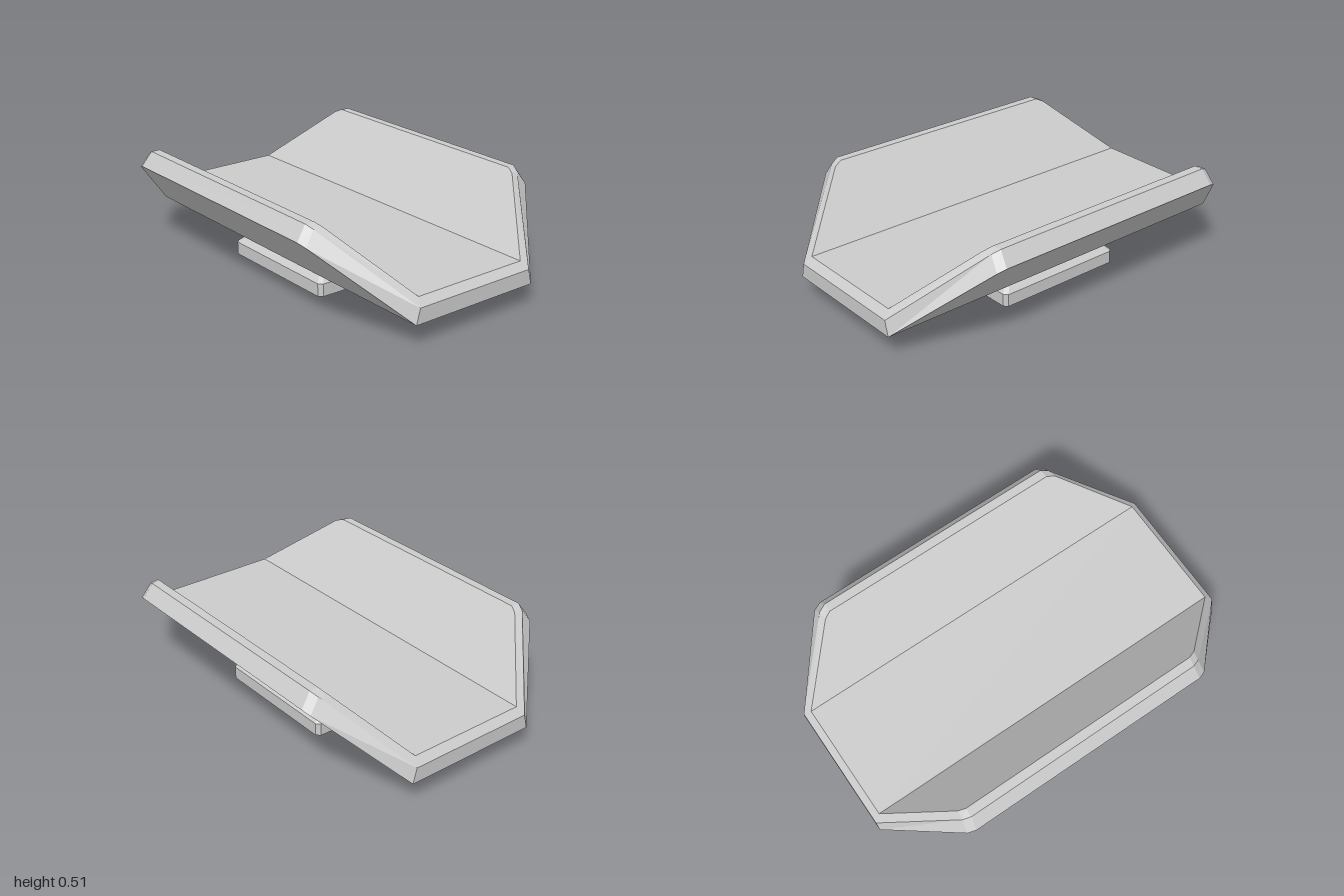
import * as THREE from 'three';

// Skin a stack of counter-clockwise rings (lowest first) and close both ends with flat fans.
function loft(name, rings, caps) {
  const pos = [];
  const tri = (...pts) => pts.forEach((p) => pos.push(...p));
  for (let k = 0; k < rings.length - 1; k++) {
    const lo = rings[k], up = rings[k + 1];
    lo.forEach((p, i) => {
      const j = (i + 1) % lo.length;
      tri(p, lo[j], up[j]);
      tri(p, up[j], up[i]);
    });
  }
  const bottom = rings[0], top = rings[rings.length - 1];
  for (const cap of caps) {
    for (let i = 1; i < cap.length - 1; i++) {
      const [a, b, c] = [cap[0], cap[i], cap[i + 1]];
      tri(top[a], top[b], top[c]);
      tri(bottom[a], bottom[c], bottom[b]);
    }
  }
  const geometry = new THREE.BufferGeometry();
  geometry.setAttribute('position', new THREE.Float32BufferAttribute(pos, 3));
  geometry.computeVertexNormals();
  const mesh = new THREE.Mesh(geometry, new THREE.MeshStandardMaterial({ color: 0xcccccc, flatShading: true }));
  mesh.name = name;
  return mesh;
}

// Tray outline: [x, z] points of the left wing from front fold to back fold, mirrored;
// beyond the fold the surface climbs with the given slope.
function trayRing(y, slope, half) {
  const fold = half[0][0];
  const left = half.map(([x, z]) => [x, y + (x - fold) * slope, z]);
  const right = left.map(([x, h, z]) => [-x, h, z]).reverse();
  return [...left, ...right];
}

// Square with small cut corners.
function baseRing(y, s, c) {
  const t = s - c;
  return [[t, s], [s, t], [s, -t], [t, -s], [-t, -s], [-s, -t], [-s, t], [-t, s]].map(([x, z]) => [x, y, z]);
}

export function createModel() {
  const group = new THREE.Group();
  group.name = 'foldedTray';

  // Folded tray: underside, outer rim, inner floor
  const tray = loft('tray', [
    trayRing(0.11, 1.015, [[0.345, 1], [0.655, 0.65], [0.67, 0.61], [0.67, -0.655], [0.655, -0.695], [0.345, -1]]),
    trayRing(0.185, 1.1, [[0.325, 1], [0.605, 0.64], [0.62, 0.6], [0.62, -0.645], [0.605, -0.685], [0.325, -1]]),
    trayRing(0.22, 1.074, [[0.305, 0.965], [0.56, 0.65], [0.575, 0.61], [0.575, -0.645], [0.56, -0.68], [0.305, -0.965]]),
  ], [[0, 1, 2, 3, 4, 5], [0, 5, 6, 11], [6, 7, 8, 9, 10, 11]]);

  // Foot plate with a sloped upper edge
  const foot = loft('footPlate', [
    baseRing(0, 0.343, 0.018),
    baseRing(0.063, 0.343, 0.018),
    baseRing(0.11, 0.292, 0.012),
  ], [[0, 1, 2, 3, 4, 5, 6, 7]]);

  group.add(tray, foot);
  return group;
}
